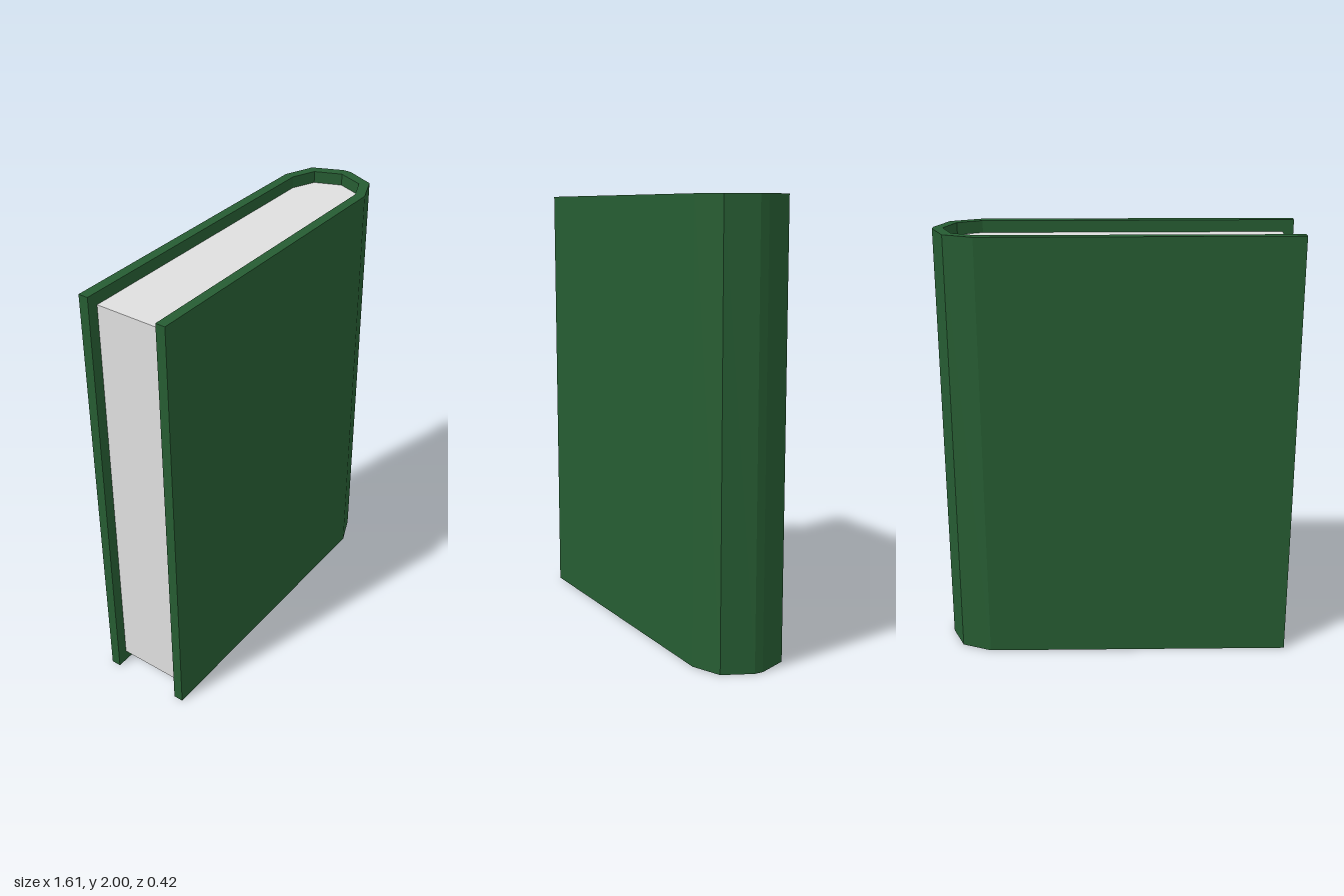
import * as THREE from 'three';

const coverMaterial = new THREE.MeshStandardMaterial({ color: 0x265c32 });
coverMaterial.name = 'green cover';
const pageMaterial = new THREE.MeshStandardMaterial({ color: 0xdedede });
pageMaterial.name = 'pale paper';

// Mirrors half an outline across the x axis, running from front to back
const mirrored = (half) => [...half, ...half.filter(([, z]) => z > 0).reverse().map(([x, z]) => [x, -z])];

// Extrudes a plan outline upwards between two heights
function upright(name, outline, bottom, top, material) {
  const shape = new THREE.Shape(outline.map(([x, z]) => new THREE.Vector2(x, -z)));
  const geometry = new THREE.ExtrudeGeometry(shape, { depth: top - bottom, bevelEnabled: false });
  geometry.rotateX(-Math.PI / 2);
  geometry.translate(0, bottom, 0);
  const mesh = new THREE.Mesh(geometry, material);
  mesh.name = name;
  return mesh;
}

export function createModel() {
  const book = new THREE.Group();
  book.name = 'book';

  // Faceted spine curve, outside and inside
  const outer = mirrored([[-0.805, 0.212], [0.61, 0.212], [0.746, 0.156], [0.805, 0.02]]);
  const spineInner = [[0.602, 0.167], [0.712, 0.12], [0.76, 0]];
  const inner = mirrored([[-0.805, 0.167], ...spineInner]);

  // Cover wraps round the spine as one U-shaped wall
  book.add(upright('cover', [...outer, ...inner.reverse()], 0, 2, coverMaterial));

  // Page block sits inside, set back from the three open edges
  book.add(upright('pages', mirrored([[-0.755, 0.167], ...spineInner]), 0.054, 1.946, pageMaterial));

  return book;
}
